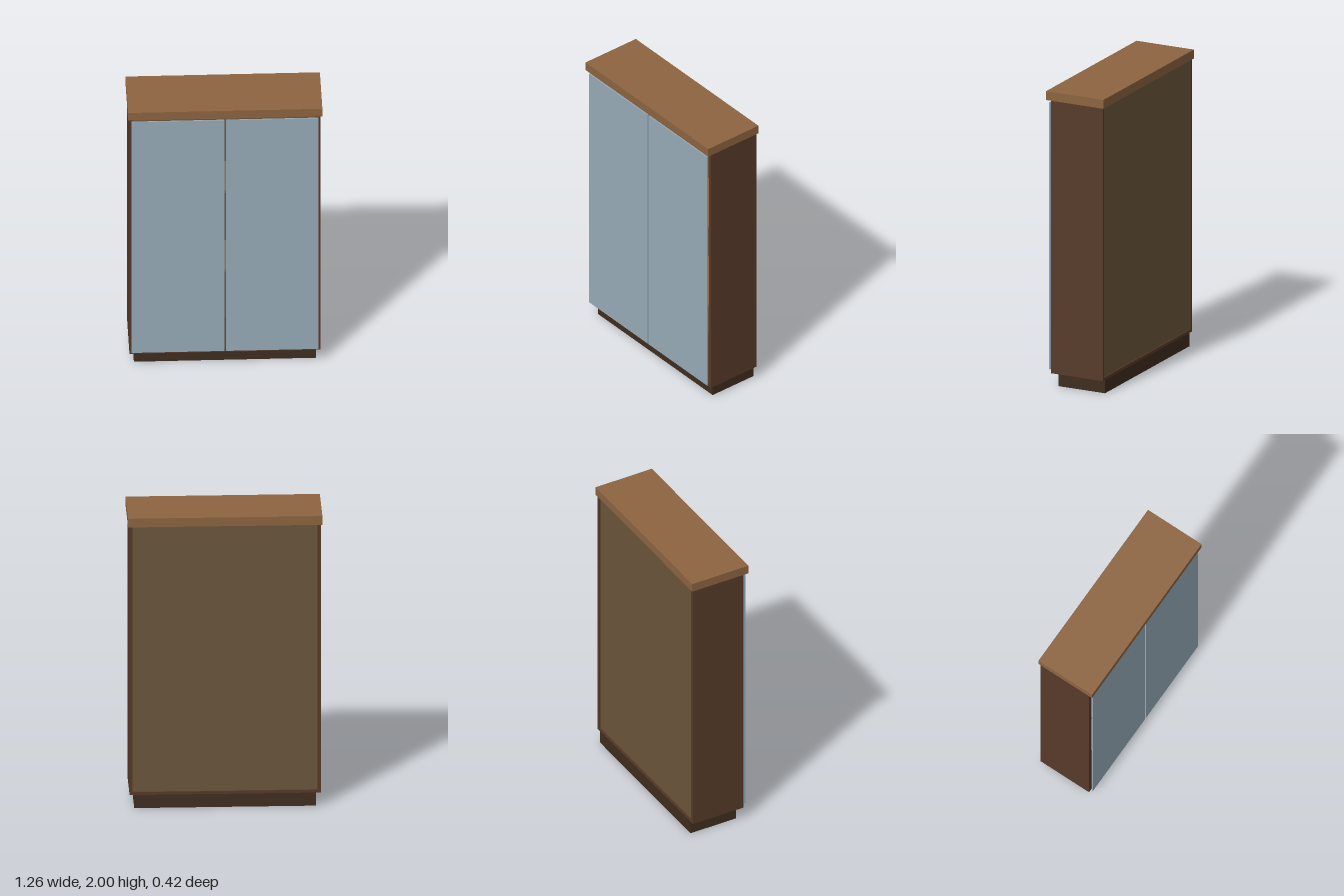
import * as THREE from 'three';

export function createModel() {
  const group = new THREE.Group();
  const mat = (color) => new THREE.MeshStandardMaterial({ color });
  const topWood = mat(0x8c6440);
  const caseWood = mat(0x573a29);
  const plinthWood = mat(0x3f2d1e);
  const backWood = mat(0x6b553b);
  const glass = mat(0x96abb8);

  // box given by its extents along each axis
  const box = (name, material, [x0, x1], [y0, y1], [z0, z1]) => {
    const mesh = new THREE.Mesh(new THREE.BoxGeometry(x1 - x0, y1 - y0, z1 - z0), material);
    mesh.position.set((x0 + x1) / 2, (y0 + y1) / 2, (z0 + z1) / 2);
    mesh.name = name;
    group.add(mesh);
  };

  // recessed plinth and overhanging top
  box('plinth', plinthWood, [-0.59, 0.59], [0, 0.09], [-0.2, 0.14]);
  box('top', topWood, [-0.63, 0.63], [1.94, 2], [-0.21, 0.21]);

  // carcass
  box('bottomPanel', caseWood, [-0.6, 0.6], [0.09, 0.11], [-0.2, 0.18]);
  box('backPanel', backWood, [-0.6, 0.6], [0.11, 1.94], [-0.192, -0.182]);
  for (const y of [0.71, 1.33]) {
    box('shelf', topWood, [-0.6, 0.6], [y - 0.01, y + 0.01], [-0.182, 0.16]);
  }

  // side panels and doors, mirrored; the doors stand just clear of the case
  for (const [side, s] of [['left', 1], ['right', -1]]) {
    const span = (a, b) => (s > 0 ? [a, b] : [-b, -a]);
    box(side + 'SidePanel', caseWood, span(0.6, 0.62), [0.09, 1.94], [-0.2, 0.18]);
    box(side + 'Door', glass, span(0.004, 0.606), [0.11, 1.92], [0.192, 0.2]);
  }
  return group;
}
